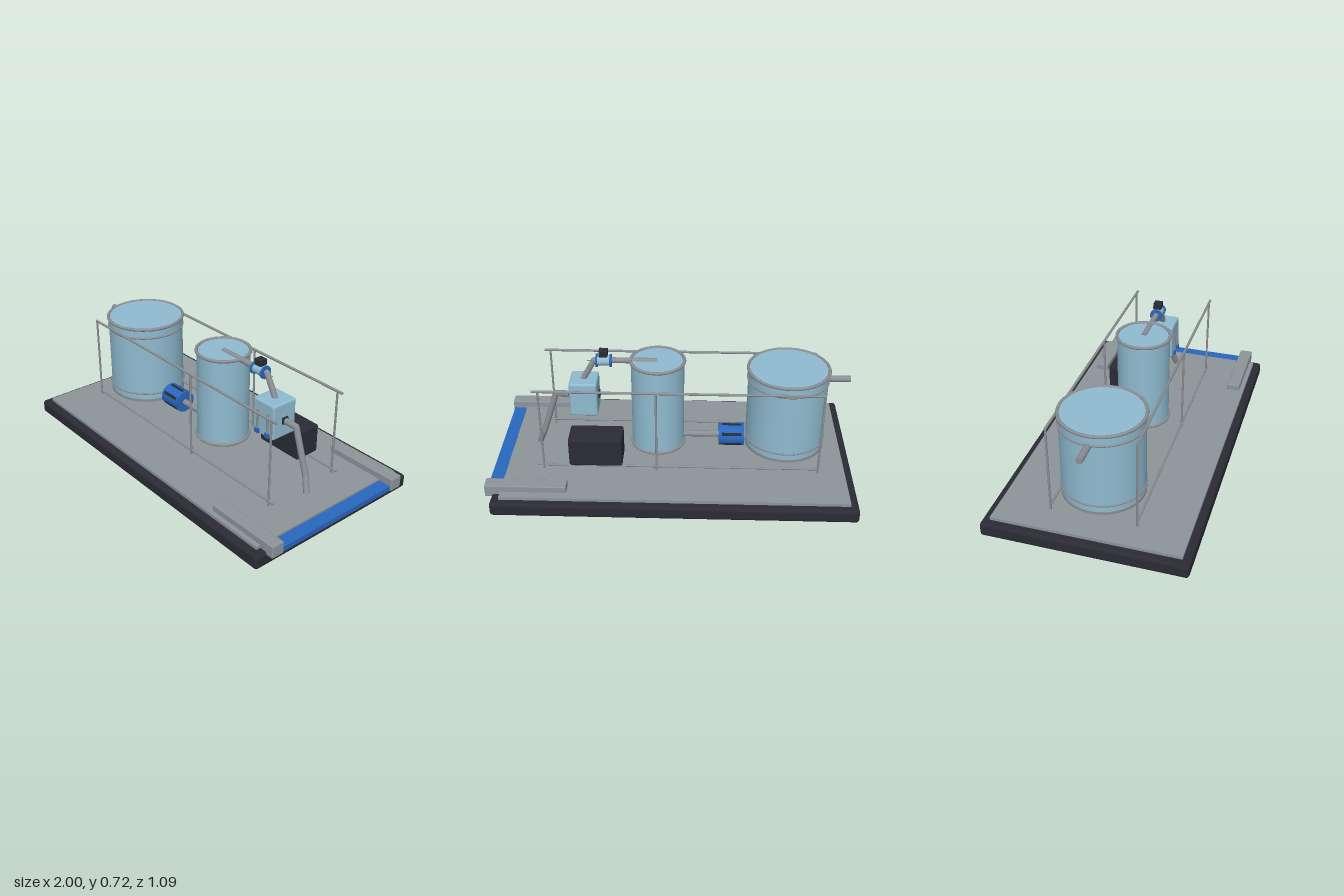
import * as THREE from 'three';
import { RoundedBoxGeometry } from 'three/addons/geometries/RoundedBoxGeometry.js';

const mat = (name, color) => new THREE.MeshStandardMaterial({ name, color });

export function createModel() {
  const model = new THREE.Group();
  model.name = 'processSkid';
  const dark = mat('charcoal', 0x2b2b34);
  const deckGrey = mat('deckGrey', 0x8d959a);
  const pipeGrey = mat('pipeGrey', 0x8b8e92);
  const blue = mat('blue', 0x2867be);
  const pale = mat('paleBlue', 0x8fbbd0);

  const add = (name, geo, material, x = 0, y = 0, z = 0, parent = model) => {
    const m = new THREE.Mesh(geo, material);
    m.name = name;
    m.position.set(x, y, z);
    parent.add(m);
    return m;
  };
  // box given by its min and max corners, optionally rounded
  const box = (name, material, a, b, r = 0, parent = model) => {
    const s = a.map((v, i) => b[i] - v);
    const geo = r ? new RoundedBoxGeometry(...s, 3, r) : new THREE.BoxGeometry(...s);
    return add(name, geo, material, ...a.map((v, i) => (v + b[i]) / 2), parent);
  };
  // straight round bar between two points
  const rod = (name, material, a, b, r, parent = model, sides = 20) => {
    const p = new THREE.Vector3(...a), q = new THREE.Vector3(...b);
    const d = q.clone().sub(p);
    const m = add(name, new THREE.CylinderGeometry(r, r, d.length(), sides), material, 0, 0, 0, parent);
    m.position.copy(p).add(q).multiplyScalar(0.5);
    m.quaternion.setFromUnitVectors(new THREE.Vector3(0, 1, 0), d.normalize());
    return m;
  };
  // jointed pipe through several points, with ball elbows
  const pipe = (name, points, r) => {
    const g = new THREE.Group();
    g.name = name;
    model.add(g);
    points.slice(1).forEach((p, i) => {
      rod('pipeSection', pipeGrey, points[i], p, r, g);
      if (i < points.length - 2) add('elbow', new THREE.SphereGeometry(r, 20, 12), pipeGrey, ...p, g);
    });
  };

  // base, deck and front edge
  box('base', dark, [-1, 0, -0.543], [0.963, 0.078, 0.543], 0.018);
  box('deck', deckGrey, [-0.955, 0.07, -0.5], [0.917, 0.095, 0.5]);
  box('edgeStrip', blue, [0.92, 0.06, -0.39], [0.992, 0.088, 0.41]);
  for (const z of [-0.415, 0.437])
    box('edgeArm', deckGrey, [0.56, 0.06, z - 0.037], [1, 0.131, z + 0.037], 0.006);

  // tanks with rings around the shell
  const tank = (name, x, r, y0, y1, rings) => {
    const g = new THREE.Group();
    g.name = name;
    g.position.x = x;
    model.add(g);
    add('shell', new THREE.CylinderGeometry(r, r, y1 - y0, 64), pale, 0, (y0 + y1) / 2, 0, g);
    for (const [y, tube] of rings) {
      const ring = add('ring', new THREE.TorusGeometry(r + 0.001, tube, 10, 64), pipeGrey, 0, y, 0, g);
      ring.rotation.x = Math.PI / 2;
    }
    return g;
  };
  const large = tank('largeTank', -0.63, 0.219, 0.157, 0.628, [[0.626, 0.009], [0.572, 0.006], [0.208, 0.005]]);
  add('footBand', new THREE.CylinderGeometry(0.221, 0.221, 0.016, 64), pipeGrey, 0, 0.163, 0, large);
  tank('smallTank', 0.085, 0.146, 0.143, 0.664, [[0.664, 0.009], [0.15, 0.009]]);

  // pipework
  pipe('inletPipe', [[-0.968, 0.566, 0], [-0.84, 0.566, 0]], 0.018);
  pipe('transferPipe', [[-0.27, 0.19, 0], [-0.05, 0.19, 0]], 0.018);
  pipe('topPipe', [[0.085, 0.66, 0], [0.43, 0.66, 0], [0.505, 0.525, 0]], 0.016);
  pipe('outletPipe', [[0.56, 0.443, 0], [0.655, 0.443, 0], [0.738, 0.19, 0], [0.772, 0.108, 0.02]], 0.017);

  // pump with slots round its casing
  const pump = new THREE.Group();
  pump.name = 'pump';
  pump.position.set(-0.331, 0.191, 0);
  model.add(pump);
  rod('casing', blue, [-0.071, 0, 0], [0.071, 0, 0], 0.064, pump, 40);
  for (let i = 0; i < 6; i++) {
    const pivot = new THREE.Group();
    pivot.name = 'slotMount';
    pivot.rotation.x = Math.PI / 6 + i * Math.PI / 3;
    pump.add(pivot);
    box('slot', dark, [-0.055, -0.009, 0.061], [0.055, 0.009, 0.066], 0.002, pivot);
  }

  // valve
  rod('valveBody', pale, [0.345, 0.658, 0], [0.415, 0.658, 0], 0.028, model, 32);
  for (const x of [0.34, 0.416])
    rod('valveFlange', blue, [x - 0.005, 0.658, 0], [x + 0.005, 0.658, 0], 0.036, model, 32);
  rod('valveStem', pipeGrey, [0.378, 0.68, 0], [0.378, 0.7, 0], 0.012);
  box('valveActuator', dark, [0.355, 0.688, -0.023], [0.402, 0.724, 0.023], 0.003);
  rod('valvePin', pipeGrey, [0.42, 0.656, 0], [0.47, 0.656, 0], 0.003);

  // control unit with gauge tubes
  box('unitCase', pale, [0.416, 0.345, -0.079], [0.57, 0.547, 0.079], 0.012);
  for (const x of [0.455, 0.53]) {
    rod('gaugeTube', pipeGrey, [x, 0.365, 0.082], [x, 0.49, 0.082], 0.007);
    box('gaugeFoot', blue, [x - 0.014, 0.352, 0.074], [x + 0.014, 0.378, 0.092], 0.002);
  }
  for (const x of [0.414, 0.573])
    box('unitPort', dark, [x - 0.008, 0.426, -0.019], [x + 0.008, 0.464, 0.019], 0.003);

  // drive housing
  box('driveHousing', dark, [0.27, 0.142, -0.27], [0.563, 0.312, -0.115], 0.013);

  // railings on both sides
  for (const z of [-0.23, 0.23]) {
    const rail = new THREE.Group();
    rail.name = 'railing';
    model.add(rail);
    rod('topRail', pipeGrey, [-0.81, 0.591, z], [0.743, 0.591, z], 0.007, rail, 12);
    rod('lowerRail', pipeGrey, [-0.81, 0.12, z], [0.743, 0.12, z], 0.006, rail, 12);
    for (const x of [-0.805, 0.085, 0.71])
      rod('post', pipeGrey, [x, 0.093, z], [x, 0.591, z], 0.006, rail, 12);
  }
  return model;
}
